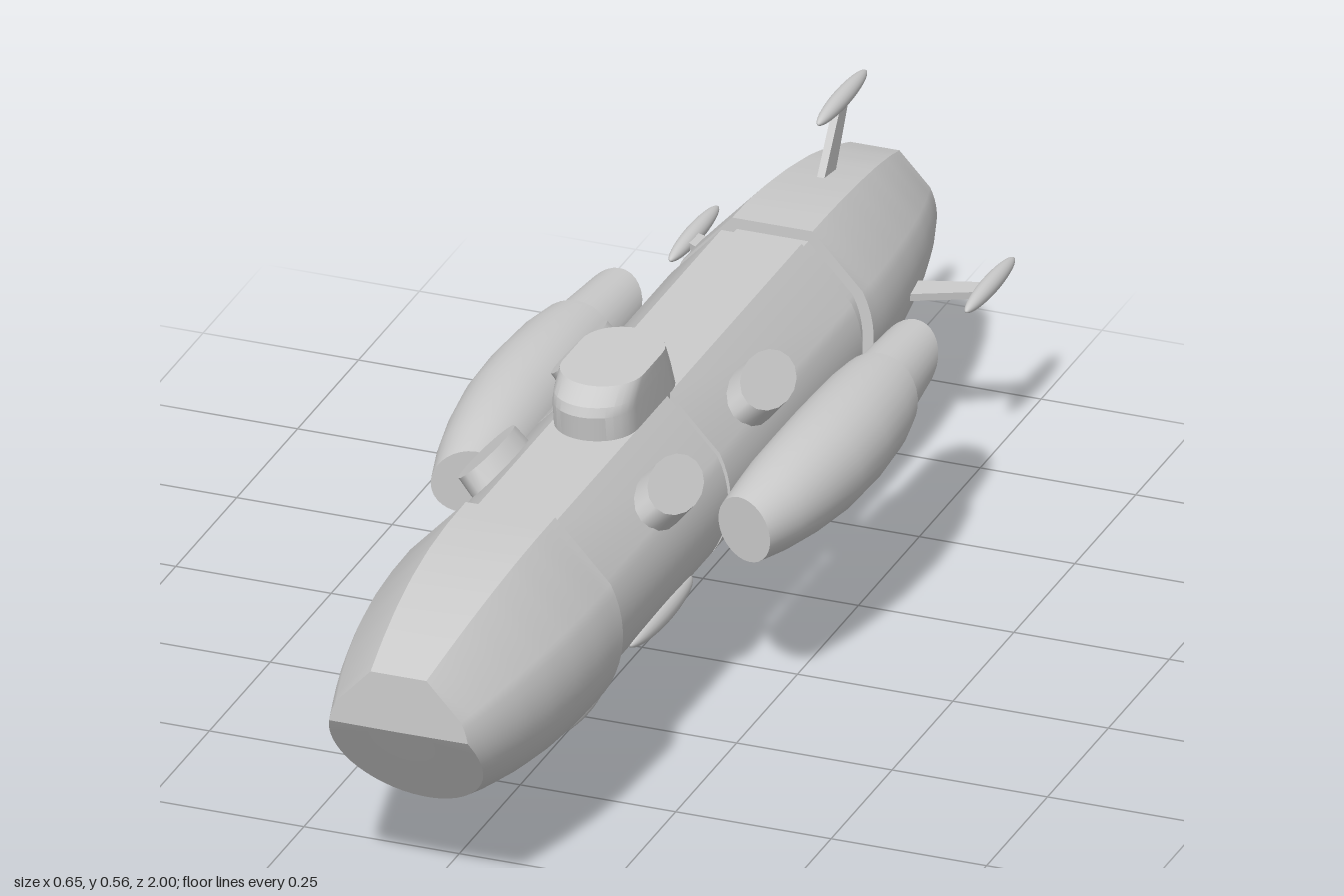
import * as THREE from 'three';
import { toCreasedNormals } from 'three/addons/utils/BufferGeometryUtils.js';

const V = (x, y, z) => new THREE.Vector3(x, y, z);
const mat = new THREE.MeshStandardMaterial({ color: 0xcccccc, side: THREE.DoubleSide });
const AXIS = 0.304; // height of the hull centre line
const RAD = Math.PI / 180;

function add(parent, name, geo) {
  const mesh = new THREE.Mesh(geo, mat);
  mesh.name = name;
  parent.add(mesh);
  return mesh;
}

// Skin over a list of rings of points, closed at both ends by fans
function skin(rings, startCentre, endCentre, crease = 0.5) {
  const n = rings[0].length, pos = [];
  const tri = (...pts) => pts.forEach((p) => pos.push(p.x, p.y, p.z));
  for (let i = 0; i < rings.length - 1; i++) {
    for (let j = 0; j < n; j++) {
      const k = (j + 1) % n, A = rings[i], B = rings[i + 1];
      tri(A[j], A[k], B[k]);
      tri(A[j], B[k], B[j]);
    }
  }
  const last = rings[rings.length - 1];
  for (let j = 0; j < n; j++) {
    const k = (j + 1) % n;
    tri(startCentre, rings[0][k], rings[0][j]);
    tri(endCentre, last[j], last[k]);
  }
  const geo = new THREE.BufferGeometry();
  geo.setAttribute('position', new THREE.Float32BufferAttribute(pos, 3));
  return toCreasedNormals(geo, crease);
}

// Hull section: round below, three flat facets on top
const polar = (deg, r) => [r * Math.cos(deg * RAD), r * Math.sin(deg * RAD)];
const section = [polar(68, 1.06), polar(112, 1.06)];
for (let i = 0; i <= 39; i++) section.push(polar(153 + i * 6, 1));

// Radius from [z, r] pairs
function radiusAt(profile, z) {
  for (let i = 1; i < profile.length; i++) {
    const [z0, r0] = profile[i - 1], [z1, r1] = profile[i];
    if (z <= z1 || i === profile.length - 1) {
      return THREE.MathUtils.lerp(r0, r1, THREE.MathUtils.clamp((z - z0) / (z1 - z0), 0, 1));
    }
  }
}

// Hull piece; the lower part of either end can be cut back at a slant below height cutY
function hull(profile, steps, { cutY = AXIS, cutFront = 0, cutBack = 0 } = {}) {
  const z0 = profile[0][0], z1 = profile[profile.length - 1][0];
  const endZ = (s, z, k) => {
    let e = z;
    for (let i = 0; i < 25; i++) {
      e = z - k * Math.max(0, cutY - (AXIS + s[1] * radiusAt(profile, e)));
    }
    return e;
  };
  const ends = section.map((s) => [endZ(s, z0, -cutBack), endZ(s, z1, cutFront)]);
  const rings = [];
  for (let i = 0; i <= steps; i++) {
    rings.push(section.map((s, j) => {
      const z = THREE.MathUtils.lerp(ends[j][0], ends[j][1], i / steps);
      const r = radiusAt(profile, z);
      return V(s[0] * r, AXIS + s[1] * r, z);
    }));
  }
  return skin(rings, V(0, cutY, z0), V(0, cutY, z1));
}

// Side pod rows: z, centre x, radius, end slant across x, end slant across y
function pod(rows) {
  const cy = 0.308;
  const rings = rows.map(([z, cx, r, kx, ky]) => Array.from({ length: 32 }, (_, j) => {
    const dx = r * Math.cos(j * Math.PI / 16), dy = r * Math.sin(j * Math.PI / 16);
    return V(cx + dx, cy + dy, z + kx * dx + ky * dy);
  }));
  const a = rows[0], b = rows[rows.length - 1];
  return skin(rings, V(a[1], cy, a[0]), V(b[1], cy, b[0]));
}

// Long ellipsoid along z
function spindle(r, halfLength) {
  return new THREE.SphereGeometry(1, 20, 24).rotateX(Math.PI / 2).scale(r, r, halfLength);
}

// Thin swept blade between two points, tapering in z
function blade(a, b, w0, w1, thick) {
  const geo = new THREE.BoxGeometry(1, 1, 1), p = geo.attributes.position;
  const d = V(b.x - a.x, b.y - a.y, 0).normalize();
  for (let i = 0; i < p.count; i++) {
    const t = p.getY(i) + 0.5, side = p.getX(i) * thick;
    const q = a.clone().lerp(b, t);
    p.setXYZ(i, q.x + d.y * side, q.y - d.x * side, q.z + p.getZ(i) * THREE.MathUtils.lerp(w0, w1, t));
  }
  return toCreasedNormals(geo, 0.3);
}

// Conning tower: rounded-end outline, raked back edge, bevelled front
function tower() {
  const rows = [[0.44, -0.035, 0.245], [0.505, -0.005, 0.255], [0.52, 0.003, 0.25], [0.545, 0.017, 0.225]];
  const w = 0.065;
  const rings = rows.map(([y, back, front]) => Array.from({ length: 34 }, (_, j) => {
    const rear = j < 17, a = (rear ? j : j - 1) * Math.PI / 16;
    const cz = rear ? back + w : front - w;
    return V(w * Math.cos(a), y, cz - w * Math.sin(a));
  }));
  return skin(rings, V(0, 0.44, 0.1), V(0, 0.545, 0.12), 0.4);
}

export function createModel() {
  const g = new THREE.Group();
  g.name = 'submersibleCraft';

  // Main hull
  add(g, 'noseHull', hull([[0.54, 0.181], [0.62, 0.18], [0.7, 0.175], [0.78, 0.165],
    [0.86, 0.15], [0.93, 0.133], [1, 0.113]], 18, { cutY: 0.321, cutFront: 0.73 }));
  add(g, 'forwardHull', hull([[0.062, 0.163], [0.56, 0.163]], 1));
  add(g, 'middleHull', hull([[-0.49, 0.163], [0.052, 0.163]], 1));
  add(g, 'innerCore', hull([[-0.56, 0.145], [0.2, 0.145]], 1));
  add(g, 'tailHull', hull([[-0.955, 0.1], [-0.9, 0.118], [-0.83, 0.135], [-0.75, 0.148],
    [-0.67, 0.157], [-0.6, 0.162], [-0.535, 0.163]], 16, { cutY: 0.235, cutBack: 1.5 }));

  // Hollow tail nozzle
  const nozzlePts = [[0.078, 0.9], [0.076, 0.96], [0.053, 1], [0.036, 1], [0.03, 0.965], [0, 0.965]];
  const nozzle = toCreasedNormals(new THREE.LatheGeometry(
    nozzlePts.map(([r, y]) => new THREE.Vector2(r, y)), 32).rotateX(-Math.PI / 2), 0.4);
  add(g, 'tailNozzle', nozzle).position.y = AXIS;

  add(g, 'conningTower', tower());

  // Paired parts
  for (const s of [1, -1]) {
    const side = s > 0 ? 'left' : 'right';

    // Pod with slanted intake and slanted exhaust tube
    const rows = [[-0.475, 0.238, 0.05, 0, -0.8], [-0.335, 0.242, 0.06, 0, -0.3],
      [-0.335, 0.244, 0.068, 0, -0.3], [-0.28, 0.246, 0.075, 0, -0.15], [-0.18, 0.247, 0.079, 0, 0],
      [-0.08, 0.245, 0.078, 0, 0], [0.01, 0.238, 0.072, 0.1, 0], [0.08, 0.231, 0.063, 0.25, 0],
      [0.147, 0.222, 0.051, 0.47, 0]];
    const mirrored = rows.map(([z, cx, r, kx, ky]) => [z, s * cx, r, s * kx, ky]);
    add(g, side + 'Pod', pod(mirrored));

    // Flat-topped blisters on the upper facets
    for (const z of [0.25, -0.13]) {
      const geo = toCreasedNormals(new THREE.CylinderGeometry(0.94, 1, 0.06, 16), 0.5).scale(0.045, 1, 0.09);
      const blister = add(g, side + 'Blister', geo);
      blister.position.set(s * 0.132, 0.396, z);
      blister.rotation.z = -s * 42 * RAD;
    }

    // Long fairings low on the flanks
    for (const [z, half] of [[0.275, 0.125], [-0.205, 0.15]]) {
      add(g, side + 'Fairing', spindle(0.02, half)).position.set(s * 0.137, 0.215, z);
    }
  }

  // Floats on swept struts: root, tip, root width, tip width, float radius, half length, float z
  const floats = [
    ['frontKeel', V(0, 0.16, 0.36), V(0, 0.018, 0.25), 0.06, 0.04, 0.014, 0.088, 0.247],
    ['rearKeel', V(0, 0.17, -0.7), V(0, 0.024, -0.765), 0.06, 0.04, 0.02, 0.127, -0.75],
    ['topFin', V(0, 0.43, -0.745), V(0, 0.545, -0.82), 0.055, 0.035, 0.014, 0.098, -0.82],
    ['leftFin', V(0.12, 0.29, -0.72), V(0.238, 0.275, -0.8), 0.055, 0.035, 0.014, 0.098, -0.82],
    ['rightFin', V(-0.12, 0.29, -0.72), V(-0.238, 0.275, -0.8), 0.055, 0.035, 0.014, 0.098, -0.82],
  ];
  for (const [name, root, tip, w0, w1, r, half, z] of floats) {
    add(g, name + 'Strut', blade(root, tip, w0, w1, 0.012));
    add(g, name + 'Float', spindle(r, half)).position.set(tip.x, tip.y, z);
  }
  return g;
}
